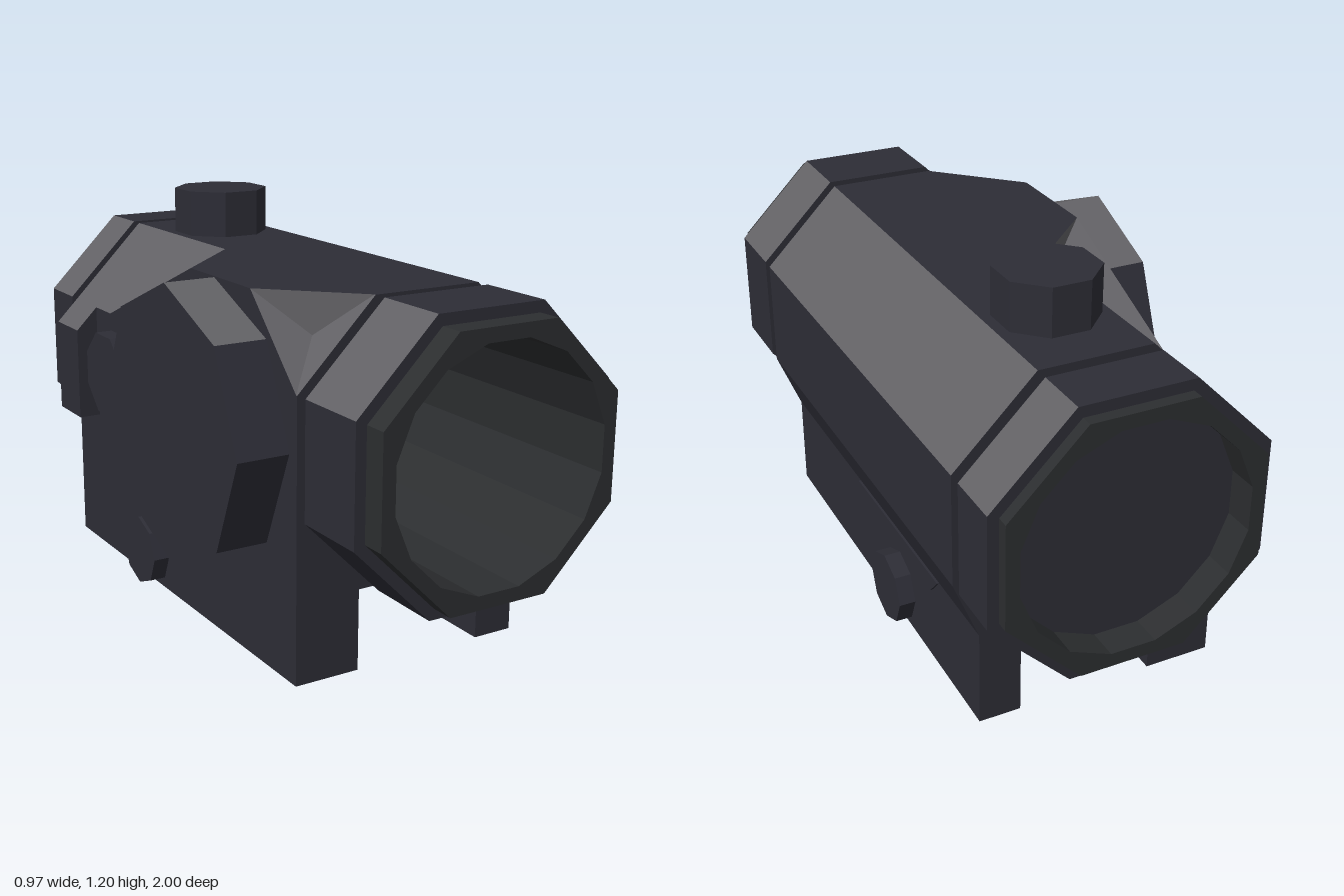
import * as THREE from 'three';

const dark = new THREE.MeshStandardMaterial({ color: 0x2d2d36 });
const gray = new THREE.MeshStandardMaterial({ color: 0x626165 });
const rim = new THREE.MeshStandardMaterial({ color: 0x2c2e30 });
const CX = 0.075, CY = 0.648; // optical axis

// Regular polygon by apothem, with a flat or a corner at the top
function ngon(cx, cy, apothem, n, flatTop = true) {
  const r = apothem / Math.cos(Math.PI / n), pts = [];
  for (let i = 0; i < n; i++) {
    const a = Math.PI / 2 + (i + (flatTop ? 0.5 : 0)) * 2 * Math.PI / n;
    pts.push([cx + r * Math.cos(a), cy + r * Math.sin(a)]);
  }
  return pts;
}
const toVectors = pts => pts.map(p => new THREE.Vector2(p[0], p[1]));

// Prism along z from z0 to z1, optionally hollow
function prism(pts, z0, z1, hole) {
  const shape = new THREE.Shape(toVectors(pts));
  if (hole) shape.holes.push(new THREE.Path(toVectors(hole)));
  return new THREE.ExtrudeGeometry(shape, { depth: z1 - z0, bevelEnabled: false }).translate(0, 0, z0);
}

// Prism along x; the outline is given as [z, y]
function prismX(pts, x0, x1) {
  return prism(pts.map(([z, y]) => [-z, y]), x0, x1).rotateY(Math.PI / 2);
}

// Upper sloping faces get the worn gray, everything else stays dark
function paintSlopes(geo) {
  const p = geo.attributes.position, n = geo.attributes.normal;
  geo.clearGroups();
  for (let i = 0; i < p.count; i += 3) {
    const y = (p.getY(i) + p.getY(i + 1) + p.getY(i + 2)) / 3, ny = n.getY(i);
    geo.addGroup(i, 3, ny > 0.5 && ny < 0.97 && y > 0.6 ? 1 : 0);
  }
  return geo;
}

// Flat faces from corner loops
function faces(loops) {
  const pos = [];
  for (const l of loops)
    for (let i = 1; i < l.length - 1; i++) pos.push(...l[0], ...l[i], ...l[i + 1]);
  const g = new THREE.BufferGeometry();
  g.setAttribute('position', new THREE.Float32BufferAttribute(pos, 3));
  g.computeVertexNormals();
  return g;
}

export function createModel() {
  const model = new THREE.Group();
  model.name = 'opticSight';
  const add = (name, geo, mat = dark) => {
    const m = new THREE.Mesh(geo, mat);
    m.name = name;
    model.add(m);
  };
  const addPainted = (name, geo) => add(name, paintSlopes(geo), [dark, gray]);

  const bore = ngon(CX, CY, 0.333, 16), sleeveBore = ngon(CX, CY, 0.345, 16);
  const octagon = ngon(CX, CY, 0.405, 8);

  // Inner tube, showing at both ends and in the grooves
  add('innerTube', prism(ngon(CX, CY, 0.373, 8), -1, 1, bore), rim);
  add('lens', prism(ngon(CX, CY, 0.335, 16), -0.91, -0.89));

  // End rings
  addPainted('frontRing', prism(octagon, 0.7, 0.93, sleeveBore));
  addPainted('rearRing', prism(octagon, -0.965, -0.8, sleeveBore));

  // Main housing with the two rail legs
  addPainted('housing', prism([
    [-0.33, 0], [-0.13, 0], [-0.13, 0.24], [0.28, 0.24], [0.28, 0], [0.405, 0], [0.405, 0.295],
    [0.48, 0.48], [0.48, 0.815], [0.243, 1.053], [-0.093, 1.053], [-0.33, 0.815],
  ], -0.76, 0.66, sleeveBore));
  add('sidePad', prismX([[0.1, 0.295], [0.04, 0.24], [-0.45, 0.24], [-0.5, 0.295]], 0.4, 0.412));

  // Raised shoulder behind the large side dial
  const fTop = [-0.093, 1.053, 0.655], fOut = [-0.33, 1.053, 0.42];
  const fMid = [-0.21, 0.935, 0.54], fLow = [-0.33, 0.815, 0.655];
  const rTop = [-0.093, 1.053, -0.15], rOut = [-0.33, 1.053, 0.08];
  const rMid = [-0.168, 0.977, -0.08], rLow = [-0.33, 0.815, -0.49];
  add('shoulder', faces([[rTop, rOut, fOut, fTop], [rLow, fLow, fOut, rOut]]));
  add('shoulderSlopes', faces([
    [fOut, fMid, fTop], [fOut, fLow, fMid], [rTop, rMid, rOut], [rOut, rMid, rLow],
  ]), gray);

  // Side controls
  addPainted('largeDial', prismX(ngon(0.22, CY, 0.402 * Math.cos(Math.PI / 8), 8, false), -0.485, -0.325));
  add('smallDial', prismX(ngon(-0.43, 0.63, 0.13, 8), -0.385, -0.325));
  add('dialBridge', prismX([[-0.32, 0.53], [-0.15, 0.53], [-0.15, 0.73], [-0.32, 0.73]], -0.375, -0.325));
  addPainted('guardPost', prism([[-0.4, 0.45], [-0.32, 0.45], [-0.32, 0.825], [-0.4, 0.745]], -0.76, -0.6));

  // Top knob
  const knob = new THREE.CylinderGeometry(0.149, 0.149, 0.16, 8).toNonIndexed();
  knob.rotateY(Math.PI / 8).translate(0.073, 1.115, -0.483);
  knob.computeVertexNormals();
  add('topKnob', knob);

  // Rail clamp
  add('clampBlock', new THREE.BoxGeometry(0.41, 0.075, 0.95).translate(0.075, 0.208, -0.03));
  add('crossBolt', prismX(ngon(-0.21, 0.11, 0.11 * Math.cos(Math.PI / 8), 8, false), -0.38, 0.455));

  return model;
}
